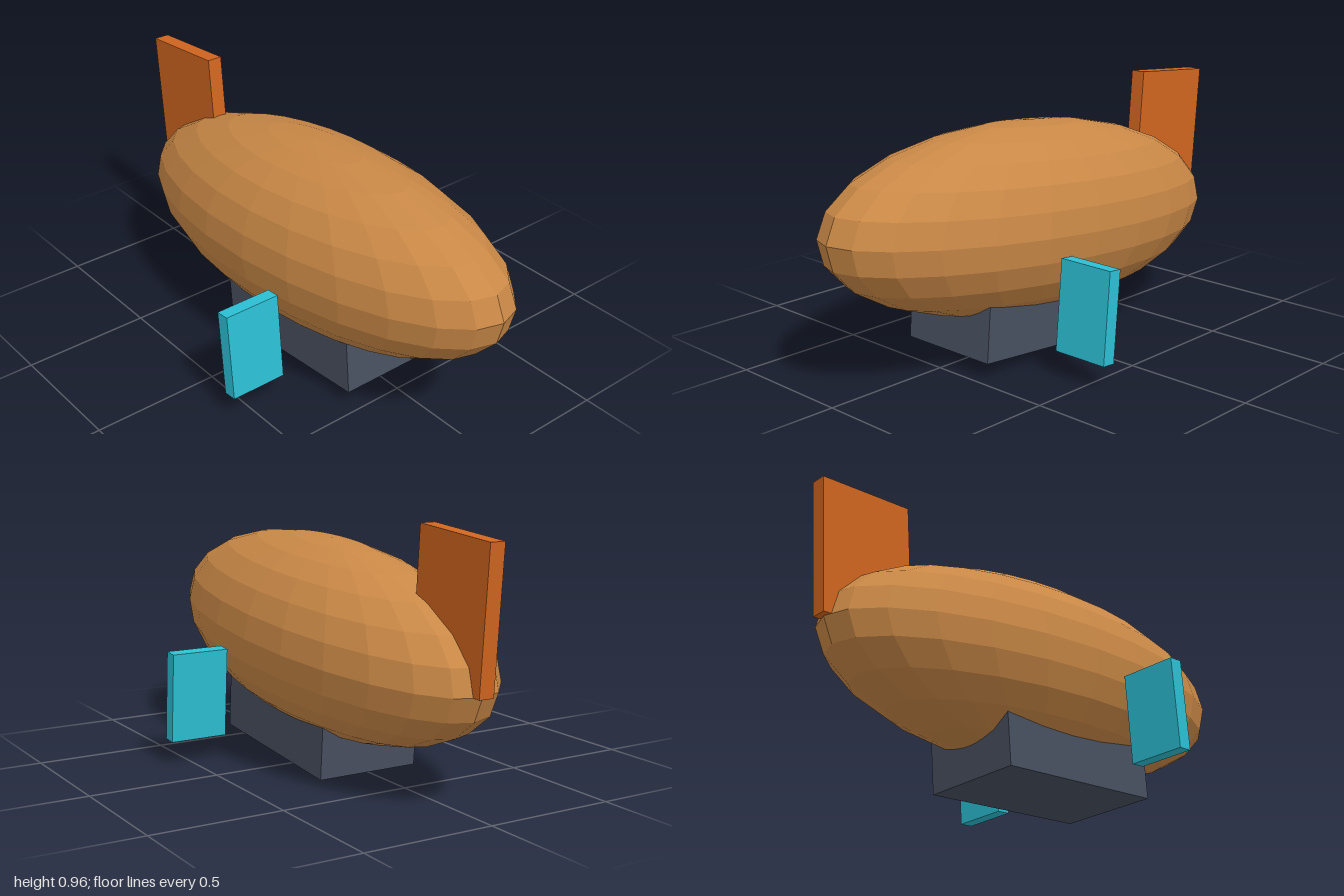
import * as THREE from 'three';

const flat = (name, color) => {
  const m = new THREE.MeshStandardMaterial({ color, flatShading: true });
  m.name = name;
  return m;
};

export function createModel() {
  const hullBrown = flat('hullBrown', 0xc98846);
  const finOrange = flat('finOrange', 0xd0651f);
  const gondolaGrey = flat('gondolaGrey', 0x485060);
  const paddleCyan = flat('paddleCyan', 0x2cc0d5);

  const model = new THREE.Group();
  model.name = 'airship';

  // Whole craft pitched slightly nose-up about the hull centre (nose at +x)
  const craft = new THREE.Group();
  craft.name = 'craft';
  craft.position.set(0.03, 0.498, 0);
  craft.rotation.z = 0.081;
  model.add(craft);

  const add = (name, geometry, material, x, y, z) => {
    const mesh = new THREE.Mesh(geometry, material);
    mesh.name = name;
    mesh.position.set(x, y, z);
    craft.add(mesh);
  };

  // Faceted ellipsoid envelope
  const hull = new THREE.SphereGeometry(1, 24, 12);
  hull.scale(0.97, 0.363, 0.363);
  add('hull', hull, hullBrown, 0, 0, 0);

  // Upright tail fin, its lower front sunk into the hull
  add('tailFin', new THREE.BoxGeometry(0.382, 0.52, 0.06), finOrange, -0.8, 0.261, 0);

  // Gondola, its top sunk into the hull
  add('gondola', new THREE.BoxGeometry(0.722, 0.24, 0.415), gondolaGrey, 0.032, -0.349, 0);

  // Side paddles
  for (const [name, side] of [['frontPaddle', 1], ['backPaddle', -1]]) {
    add(name, new THREE.BoxGeometry(0.055, 0.344, 0.225), paddleCyan, 0.171, -0.246, side * 0.47);
  }

  return model;
}
